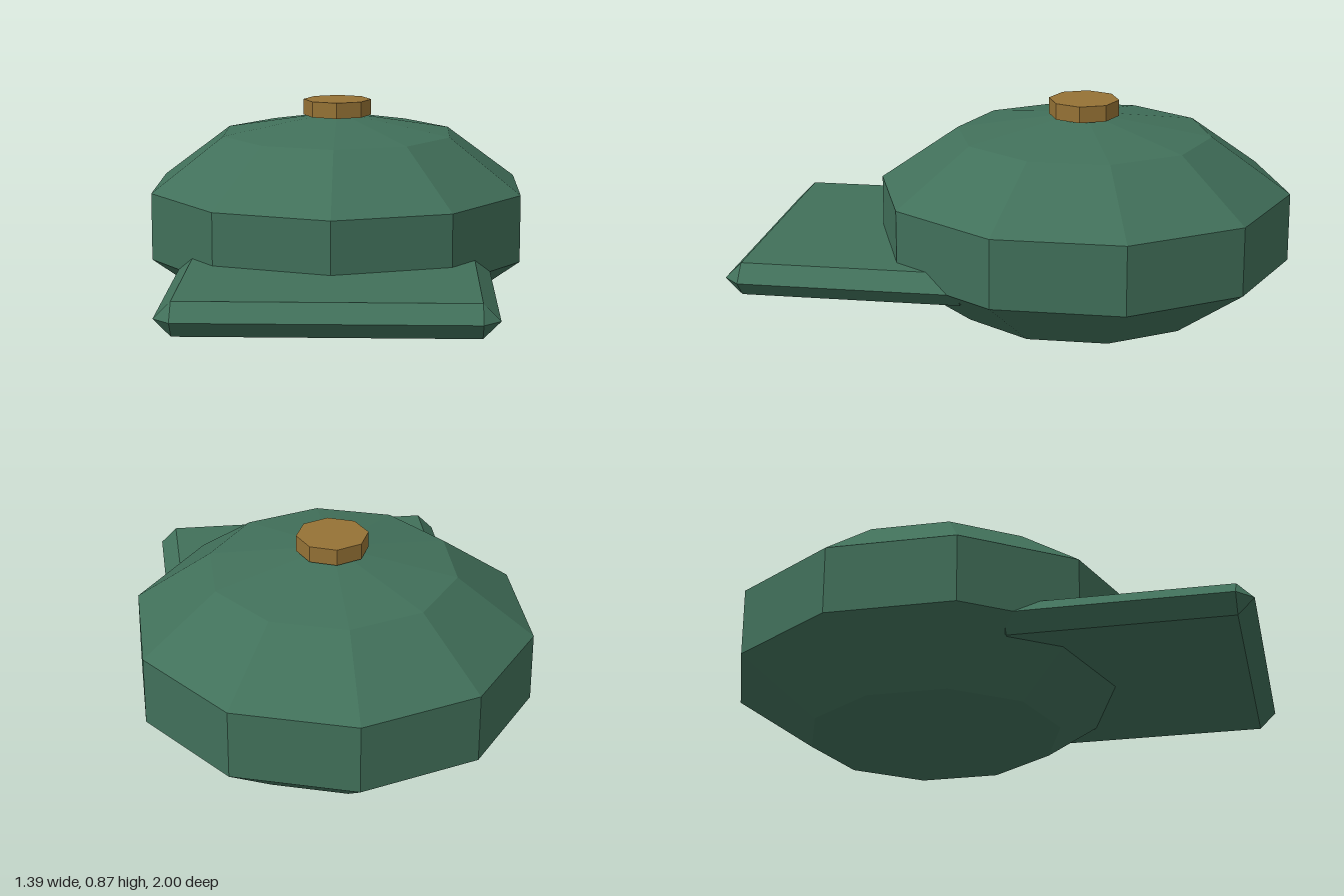
import * as THREE from 'three';
import { ConvexGeometry } from 'three/addons/geometries/ConvexGeometry.js';

const green = new THREE.MeshStandardMaterial({ color: 0x41705a, flatShading: true });
const brass = new THREE.MeshStandardMaterial({ color: 0x957235, flatShading: true });

// Box whose edges are all chamfered by half its thickness
function chamferedSlab(width, height, depth) {
  const x = width / 2, y = height / 2, z = depth / 2, c = y;
  const points = [];
  for (const sx of [-1, 1]) for (const sz of [-1, 1]) {
    points.push(new THREE.Vector3(sx * x, 0, sz * (z - c)));
    points.push(new THREE.Vector3(sx * (x - c), 0, sz * z));
    for (const sy of [-1, 1]) points.push(new THREE.Vector3(sx * (x - c), sy * y, sz * (z - c)));
  }
  return new ConvexGeometry(points);
}

export function createModel() {
  const group = new THREE.Group();
  const add = (name, geometry, material, y, z) => {
    const mesh = new THREE.Mesh(geometry, material);
    mesh.name = name;
    mesh.position.set(0, y, z);
    group.add(mesh);
  };

  // Crown: ten-sided squashed ball with corners pointing front and back
  const crown = new THREE.SphereGeometry(1, 10, 5);
  crown.rotateY(Math.PI / 2).scale(0.768, 0.411, 0.806);
  add('crown', crown, green, 0.411, -0.234);

  // Brim: flat slab reaching forward out of the crown
  add('brim', chamferedSlab(1.15, 0.12, 0.92), green, 0.284, 0.54);

  // Button on top of the crown
  add('topButton', new THREE.CylinderGeometry(0.13, 0.13, 0.06, 8), brass, 0.84, -0.234);

  return group;
}
